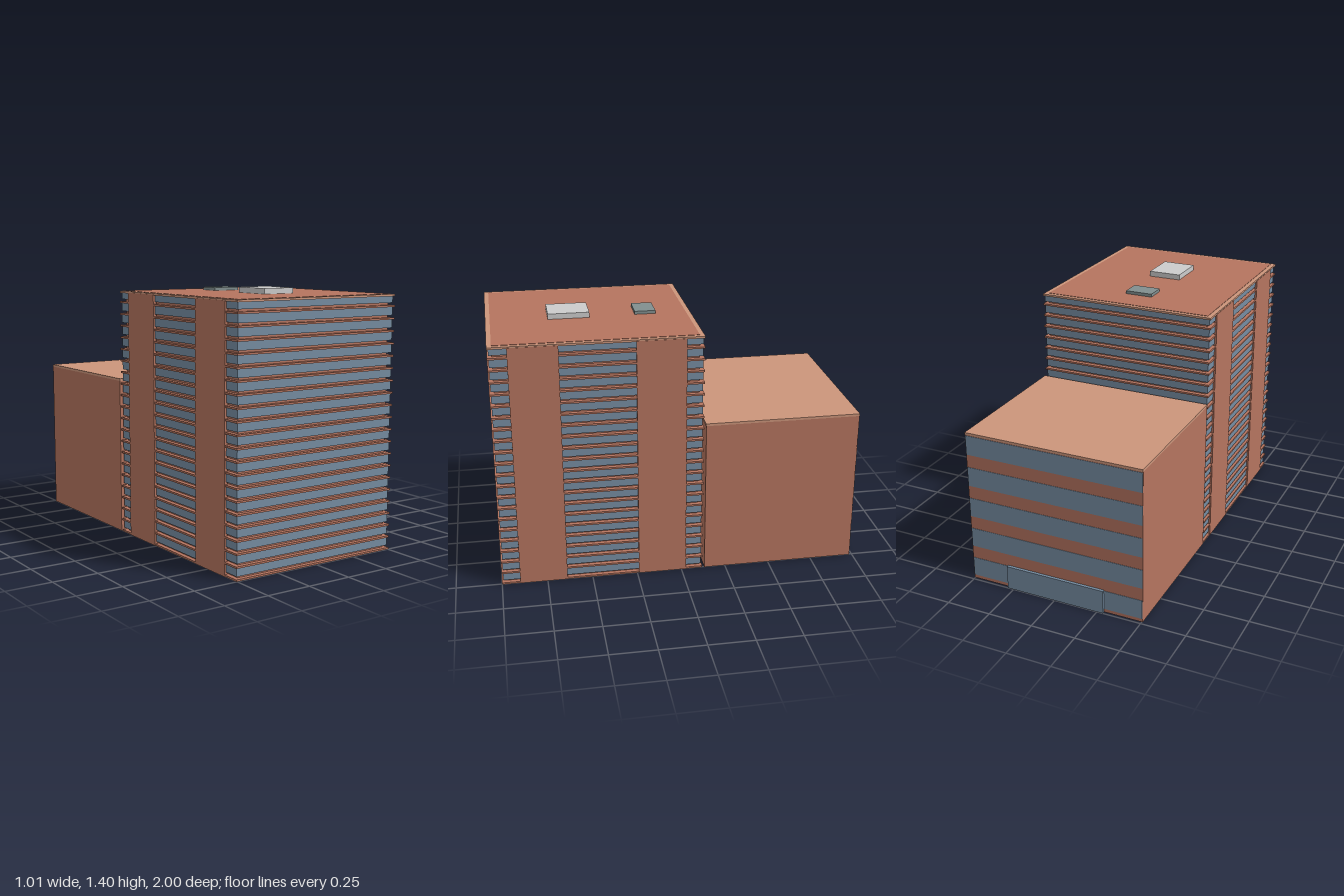
import * as THREE from 'three';

const mat = (color) => new THREE.MeshStandardMaterial({ color });

export function createModel() {
  const brick = mat(0xb5745f);
  const tan = mat(0xcc957b);
  const glass = mat(0x768da2);
  const metal = mat(0x818f8f);
  const grey = mat(0xcccccc);

  // Box given by its minimum and maximum corners
  const box = (parent, name, material, x0, x1, y0, y1, z0, z1) => {
    const mesh = new THREE.Mesh(new THREE.BoxGeometry(x1 - x0, y1 - y0, z1 - z0), material);
    mesh.position.set((x0 + x1) / 2, (y0 + y1) / 2, (z0 + z1) / 2);
    mesh.name = name;
    parent.add(mesh);
    return mesh;
  };

  const model = new THREE.Group();
  model.name = 'officeBuilding';

  // Tower: each floor is a thin slab, a recessed spandrel and a window band
  const tower = new THREE.Group();
  tower.name = 'tower';
  model.add(tower);
  const W = 0.505, back = -0.12, front = 1;
  const floors = 21, step = 0.0653;
  const layer = (name, material, inset, y0, y1) =>
    box(tower, name, material, -W + inset, W - inset, y0, y1, back + inset, front - inset);
  for (let i = 0; i < floors; i++) {
    const y = i * step;
    layer('floorSlab', brick, 0, y, y + 0.01);
    layer('spandrel', brick, 0.025, y + 0.01, y + 0.022);
    const top = i === floors - 1 ? 1.362 : y + step;
    layer('windowBand', glass, 0.008, y + 0.022, top);
  }

  // Roof: light rim around a darker deck
  layer('roofSlab', tan, 0, 1.362, 1.373);
  layer('roofDeck', brick, 0.025, 1.373, 1.375);

  // Full-height brick piers, two on each side
  for (const side of [-1, 1]) {
    for (const [z0, z1] of [[0.64, 0.9], [-0.025, 0.24]]) {
      const pier = box(tower, 'pier', brick, 0.488, 0.507, 0, 1.366, z0, z1);
      pier.position.x *= side;
    }
  }

  // Rooftop units
  box(tower, 'largeRoofUnit', grey, -0.095, 0.092, 1.37, 1.405, 0.44, 0.665);
  box(tower, 'smallRoofUnit', metal, -0.078, 0.078, 1.37, 1.392, 0.075, 0.19);

  // Lower annex behind the tower
  const annex = new THREE.Group();
  annex.name = 'annex';
  model.add(annex);
  box(annex, 'annexWalls', brick, -W, W, 0, 0.867, -0.984, -0.132);
  box(annex, 'annexRoof', tan, -W, W, 0.867, 0.88, -0.987, -0.13);
  for (let i = 0; i < 5; i++) {
    const y = 0.02 + i * 0.183;
    box(annex, 'annexWindowBand', glass, -W + 0.002, W - 0.002, y, y + 0.11, -0.986, -0.97);
  }
  box(annex, 'entrance', glass, -0.285, 0.285, 0, 0.135, -1, -0.97);

  return model;
}
